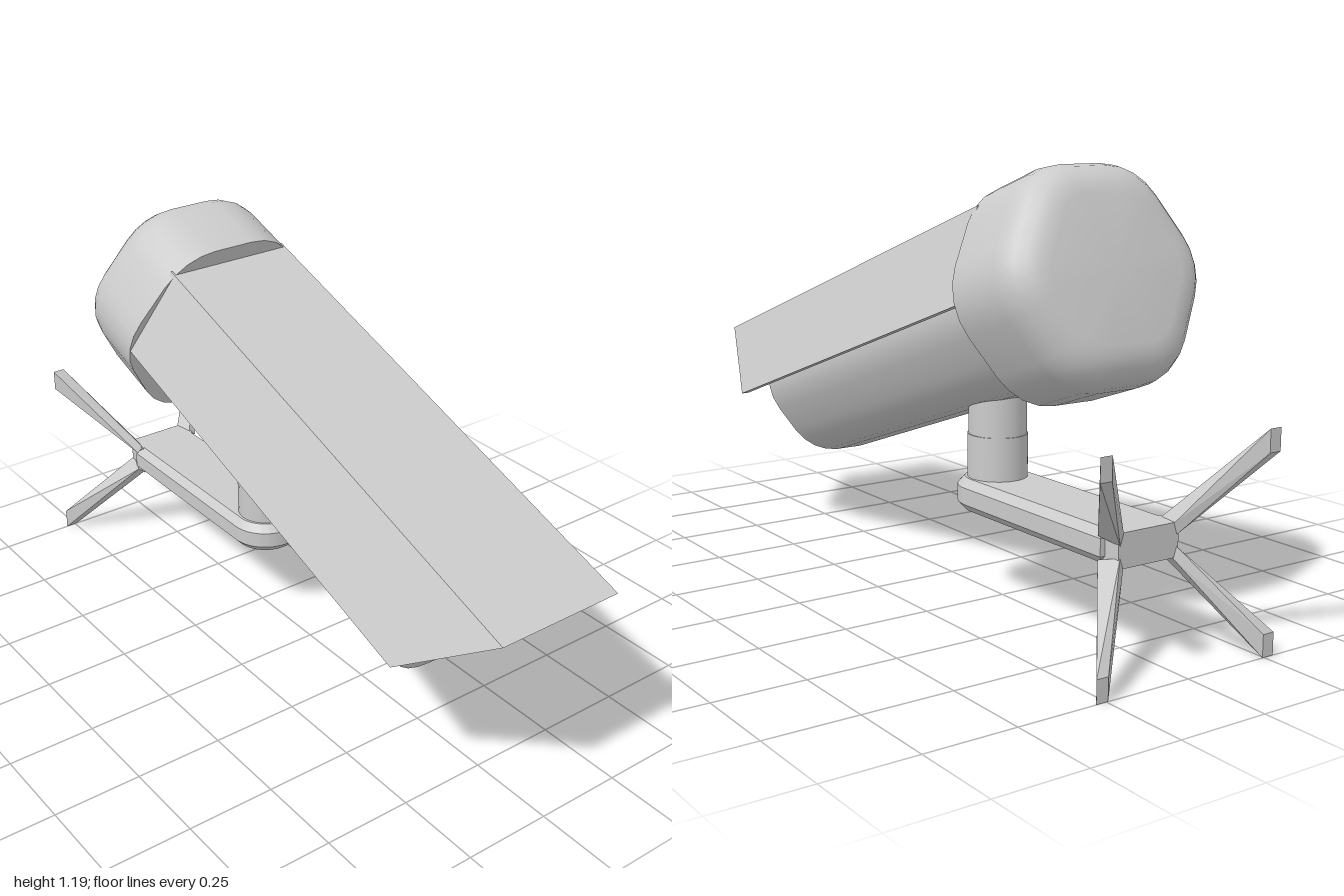
import * as THREE from 'three';
import { toCreasedNormals } from 'three/addons/utils/BufferGeometryUtils.js';
import { ConvexGeometry } from 'three/addons/geometries/ConvexGeometry.js';

const grey = new THREE.MeshStandardMaterial({ color: 0xcccccc });
const dark = new THREE.MeshStandardMaterial({ color: 0x1a1a1a });

function add(parent, name, geometry, material = grey) {
  const mesh = new THREE.Mesh(geometry, material);
  mesh.name = name;
  parent.add(mesh);
  return mesh;
}

// Closed solid with a rounded-hexagon section; rings are [corner radius, z], back to front.
// "core" is the apothem of the hexagon on which the corner arcs are centred.
function hexLoft(core, rings) {
  const steps = 4, n = 6 * (steps + 1), pos = [], index = [];
  for (const [r, z] of rings) {
    for (let c = 0; c < 6; c++) {
      const mid = c * Math.PI / 3, R = core / Math.cos(Math.PI / 6);
      for (let s = 0; s <= steps; s++) {
        const a = mid + (s / steps - 0.5) * Math.PI / 3;
        pos.push(R * Math.cos(mid) + r * Math.cos(a), R * Math.sin(mid) + r * Math.sin(a), z);
      }
    }
  }
  const last = (rings.length - 1) * n, back = rings.length * n, front = back + 1;
  pos.push(0, 0, rings[0][1], 0, 0, rings[rings.length - 1][1]);
  for (let i = 0; i < n; i++) {
    const j = (i + 1) % n;
    for (let k = 0; k < last; k += n) {
      index.push(k + i, k + j, k + n + j, k + i, k + n + j, k + n + i);
    }
    index.push(back, j, i, front, last + i, last + j);
  }
  const g = new THREE.BufferGeometry();
  g.setAttribute('position', new THREE.Float32BufferAttribute(pos, 3));
  g.setIndex(index);
  return toCreasedNormals(g, 0.6);
}

const hexPoints = (R) => Array.from({ length: 6 }, (_, i) =>
  new THREE.Vector2(R * Math.cos(i * Math.PI / 3), R * Math.sin(i * Math.PI / 3)));

function createHead() {
  const head = new THREE.Group();
  head.name = 'cameraHead';

  add(head, 'housing', hexLoft(0.07, [[0.16, -0.8], [0.16, 0.468]]));

  // Rear cap with a rounded back edge
  const rings = [];
  for (let i = 0; i <= 5; i++) {
    const a = i / 5 * Math.PI / 2;
    rings.push([0.08 + 0.1 * Math.sin(a), -0.89 - 0.1 * Math.cos(a)]);
  }
  rings.push([0.18, -0.712]);
  add(head, 'rearCap', hexLoft(0.106, rings));

  // Sun shade: thin folded sheet, its front cut at a slant
  const profile = new THREE.Shape([
    [0.3, -0.009], [0.19, 0.236], [-0.19, 0.236], [-0.3, -0.009],
    [-0.278, -0.009], [-0.18, 0.23], [0.18, 0.23], [0.278, -0.009],
  ].map(([x, y]) => new THREE.Vector2(x, y)));
  const shade = new THREE.ExtrudeGeometry(profile, { depth: 1, bevelEnabled: false });
  const p = shade.attributes.position;
  for (let i = 0; i < p.count; i++) {
    p.setZ(i, p.getZ(i) > 0.5 ? 0.546 + (p.getY(i) + 0.009) * 0.82 : -0.73);
  }
  shade.computeVertexNormals();
  add(head, 'sunShade', shade);

  // Lens surround and lens
  const hood = new THREE.Shape(hexPoints(0.17));
  hood.holes.push(new THREE.Path(hexPoints(0.156).reverse()));
  add(head, 'lensHood', new THREE.ExtrudeGeometry(hood, { depth: 0.06, bevelEnabled: false }))
    .position.z = 0.445;
  add(head, 'lensBezel', hexLoft(0.02, [[0.115, 0.45], [0.115, 0.485]]));
  const lens = new THREE.CylinderGeometry(0.128, 0.128, 0.04, 14).rotateX(Math.PI / 2);
  add(head, 'lens', lens, dark).position.z = 0.472;

  head.position.set(0, 0.627, 0.217);
  head.rotation.x = 0.333;
  return head;
}

function createMount() {
  const mount = new THREE.Group();
  mount.name = 'mount';

  // Swivel post in two stacked pieces
  add(mount, 'lowerPost', new THREE.CylinderGeometry(0.083, 0.083, 0.135, 24))
    .position.set(0, 0.3875, -0.224);
  add(mount, 'upperPost', new THREE.CylinderGeometry(0.08, 0.08, 0.145, 24))
    .position.set(0, 0.5275, -0.224);

  // Arm with a round front end and bevelled edges
  const outline = new THREE.Shape();
  outline.moveTo(-0.09, 0.78);
  outline.lineTo(-0.09, 0.225);
  outline.absarc(0, 0.225, 0.09, Math.PI, 2 * Math.PI, false);
  outline.lineTo(0.09, 0.78);
  const arm = new THREE.ExtrudeGeometry(outline, {
    depth: 0.046, bevelThickness: 0.022, bevelSize: 0.02, bevelSegments: 1, curveSegments: 16,
  });
  arm.rotateX(-Math.PI / 2).translate(0, 0.267, 0);
  add(mount, 'arm', toCreasedNormals(arm, 0.5));

  add(mount, 'hub', new THREE.BoxGeometry(0.19, 0.09, 0.07)).position.set(0, 0.29, -0.815);

  // Four splayed wall legs, mirrored about the hub centre
  for (const sx of [1, -1]) {
    for (const sy of [1, -1]) {
      const corners = [
        [0.09, 0.045, -0.79], [0.11, 0.03, -0.79], [0.08, 0.045, -0.85], [0.09, 0.015, -0.85],
        [0.245, 0.288, -1], [0.28, 0.288, -1], [0.245, 0.228, -1], [0.28, 0.228, -1],
      ].map(([x, y, z]) => new THREE.Vector3(sx * x, 0.288 + sy * y, z));
      add(mount, (sy > 0 ? 'upper' : 'lower') + (sx > 0 ? 'Left' : 'Right') + 'Leg',
        new ConvexGeometry(corners));
    }
  }
  return mount;
}

export function createModel() {
  const model = new THREE.Group();
  model.name = 'securityCamera';
  model.add(createHead(), createMount());
  return model;
}
